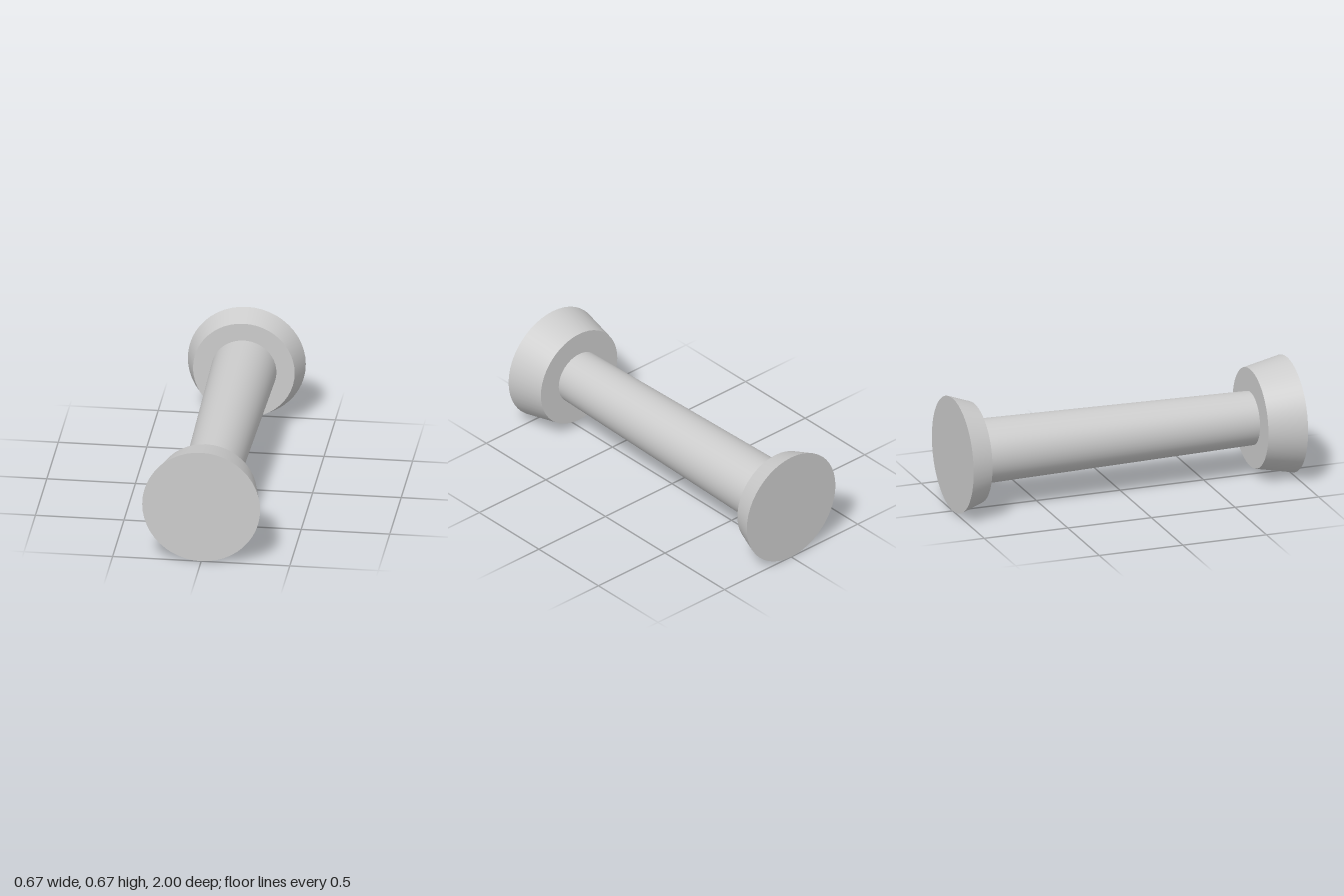
import * as THREE from 'three';

const AXIS_Y = 0.334;
const SIDES = 48;

export function createModel() {
  const group = new THREE.Group();
  const material = new THREE.MeshStandardMaterial({ color: 0xcccccc });

  // Tapered round section lying along z, from zBack to zFront
  function section(name, zBack, rBack, zFront, rFront, open = false) {
    const geometry = new THREE.CylinderGeometry(rFront, rBack, zFront - zBack, SIDES, 1, open);
    geometry.rotateX(Math.PI / 2);
    const mesh = new THREE.Mesh(geometry, material);
    mesh.name = name;
    mesh.position.set(0, AXIS_Y, (zBack + zFront) / 2);
    group.add(mesh);
  }

  // Thick front flange, flaring outward to the front face
  section('frontFlange', 0.78, 0.287, 1, 0.333);
  // Shaft, widening slightly towards the back; its ends meet the flanges
  section('shaft', -0.87, 0.184, 0.78, 0.153, true);
  // Thinner back flange, flaring outward to the back face
  section('backFlange', -1, 0.333, -0.87, 0.287);

  return group;
}
